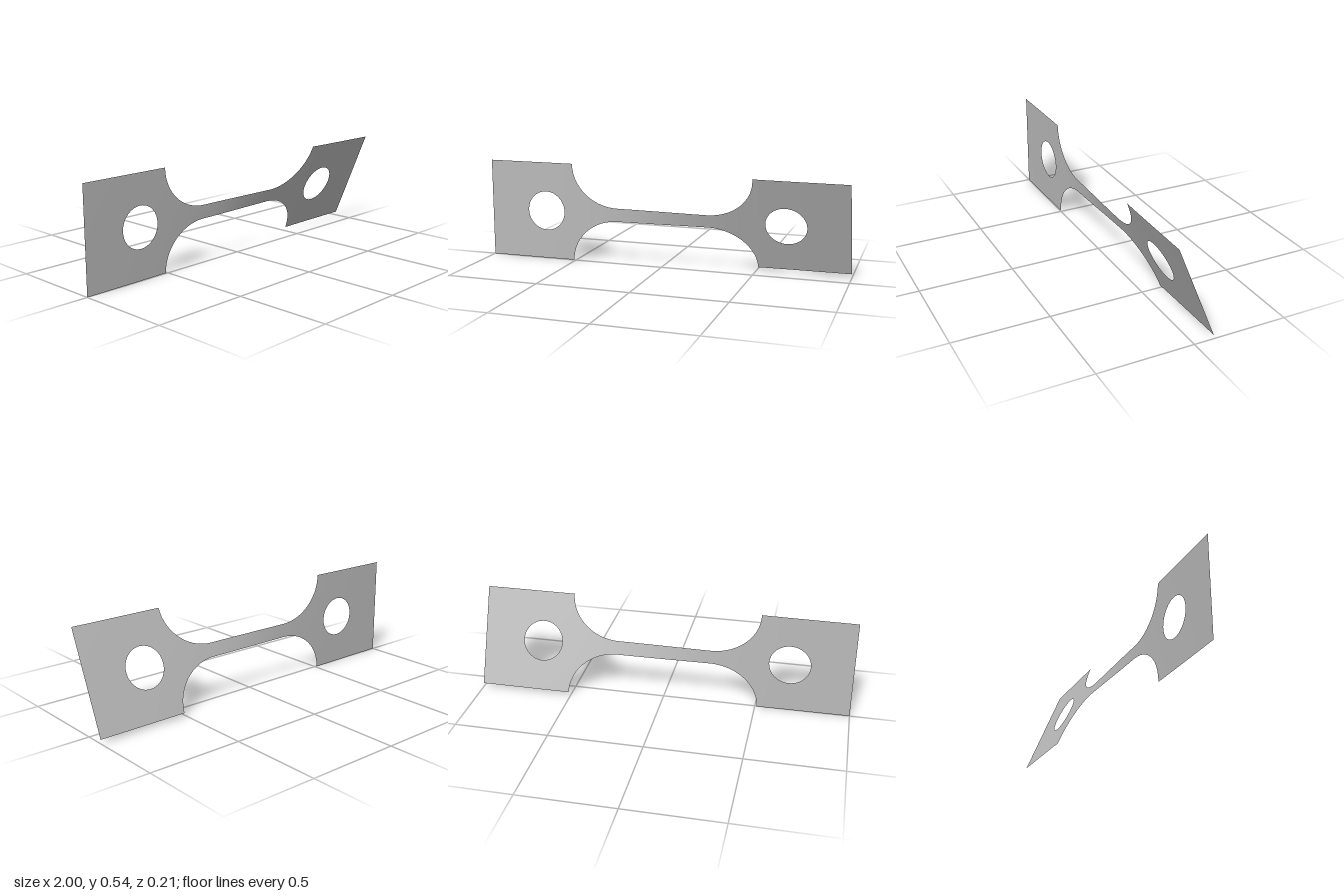
import * as THREE from 'three';

const CENTER_Y = 0.27, HALF = 0.27;      // axis height and half height of the grips
const GRIP_X = 0.51, HOLE_X = 0.67, HOLE_R = 0.108;
const NECK_X = 0.25, NECK_HALF = 0.037;  // straight part of the neck

// Twist angle along the x axis: rapid through the neck, nearly constant in the grips
const twist = (x) => THREE.MathUtils.degToRad(11.2 + 9.8 * Math.tanh(x / 0.27) + 1.5 * x);

// Builds a sheet from a grid of flat points (x, y) and twists it about the x axis
function twistedSheet(nu, nv, flatPoint) {
  const positions = [], normals = [], index = [];
  const n = new THREE.Vector3();
  for (let i = 0; i <= nu; i++) {
    for (let j = 0; j <= nv; j++) {
      const [x, y] = flatPoint(i / nu, j / nv);
      const a = twist(x), slope = (twist(x + 1e-3) - twist(x - 1e-3)) / 2e-3;
      positions.push(x, CENTER_Y + y * Math.cos(a), y * Math.sin(a));
      n.set(-y * slope, -Math.sin(a), Math.cos(a)).normalize();
      normals.push(n.x, n.y, n.z);
      if (i < nu && j < nv) {
        const p = i * (nv + 1) + j, q = p + nv + 1;
        index.push(p, q, q + 1, p, q + 1, p + 1);
      }
    }
  }
  const geometry = new THREE.BufferGeometry();
  geometry.setAttribute('position', new THREE.Float32BufferAttribute(positions, 3));
  geometry.setAttribute('normal', new THREE.Float32BufferAttribute(normals, 3));
  geometry.setIndex(index);
  return geometry;
}

// Neck with quarter-round shoulders flaring out to the grips
function neckGeometry() {
  return twistedSheet(120, 16, (u, v) => {
    // cosine spacing packs the columns where the shoulders are steep
    const x = -GRIP_X * Math.cos(Math.PI * u);
    const t = Math.min(1, Math.max(0, (Math.abs(x) - NECK_X) / (GRIP_X - NECK_X)));
    const half = NECK_HALF + (HALF - NECK_HALF) * (1 - Math.sqrt(1 - t * t));
    return [x, half * (2 * v - 1)];
  });
}

// Rectangular grip with a round hole, filled from the hole out to the edges
function gripGeometry(side) {
  const x0 = side > 0 ? GRIP_X : -1, x1 = side > 0 ? 1 : -GRIP_X;
  const corners = [[x0, -HALF], [x1, -HALF], [x1, HALF], [x0, HALF]];
  const cx = side * HOLE_X;
  return twistedSheet(8, 64, (u, v) => {
    const k = Math.floor(v * 4) % 4, f = (v * 4) % 1;
    const [ax, ay] = corners[k], [bx, by] = corners[(k + 1) % 4];
    const ex = ax + (bx - ax) * f, ey = ay + (by - ay) * f;
    const angle = Math.atan2(ey, ex - cx);
    const hx = cx + HOLE_R * Math.cos(angle), hy = HOLE_R * Math.sin(angle);
    return [hx + (ex - hx) * u, hy + (ey - hy) * u];
  });
}

export function createModel() {
  const group = new THREE.Group();
  group.name = 'twistedTestStrip';
  const metal = new THREE.MeshStandardMaterial({ color: 0xbababa, side: THREE.DoubleSide });
  metal.name = 'plainGrey';

  const add = (name, geometry) => {
    const mesh = new THREE.Mesh(geometry, metal);
    mesh.name = name;
    group.add(mesh);
  };
  add('neck', neckGeometry());
  add('leftGrip', gripGeometry(1));
  add('rightGrip', gripGeometry(-1));
  return group;
}
